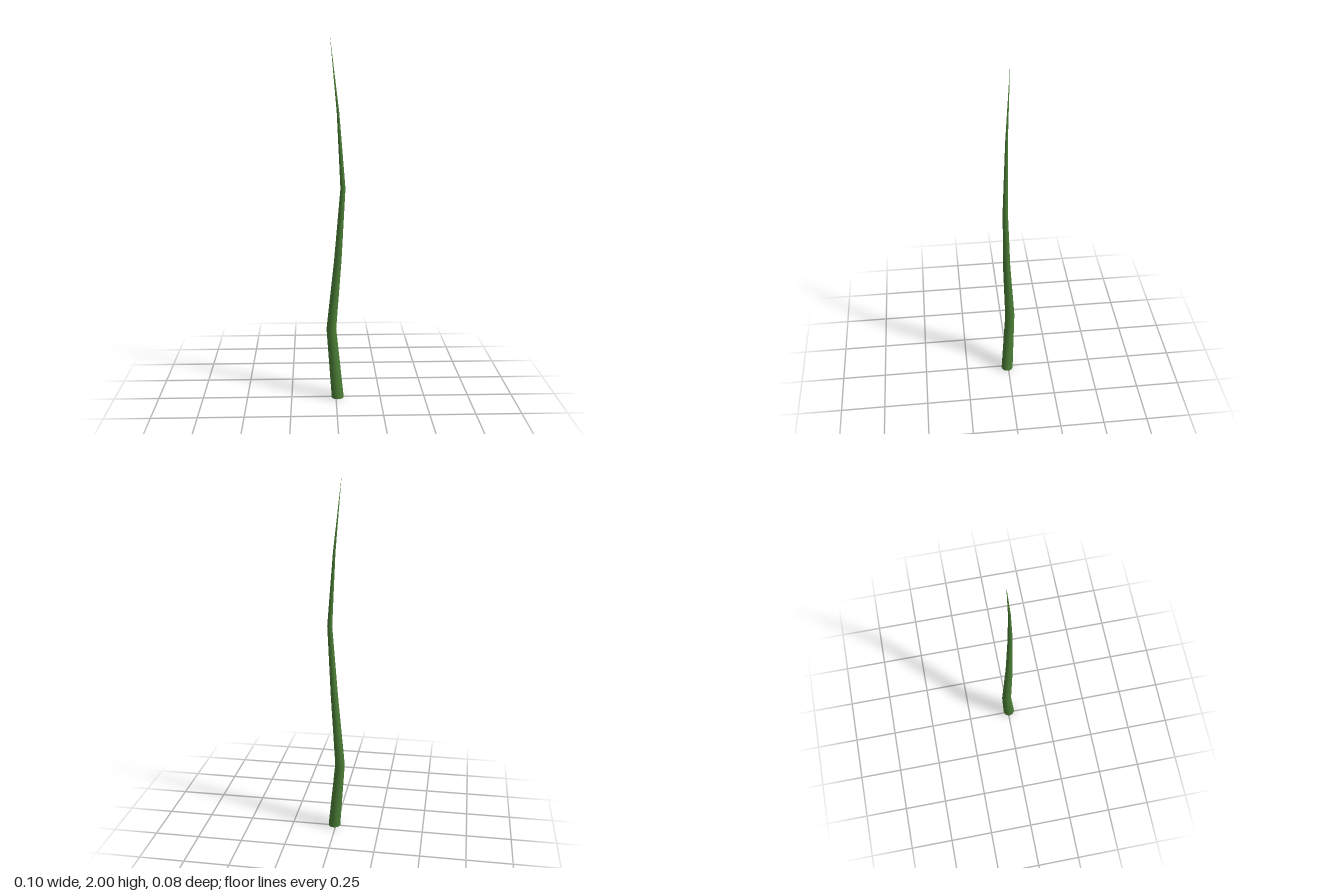
import * as THREE from 'three';
import { mergeVertices } from 'three/addons/utils/BufferGeometryUtils.js';

const HEIGHT = 2;
// Sideways offset [x, z] of the stem at each evenly spaced ring, base to tip
const BENDS = [
  [0.01, 0.006], [-0.025, -0.014], [0.01, 0.008],
  [0.037, 0.018], [0.011, 0.008], [-0.031, -0.014],
];

// Tapered open tube whose rings are shifted along the bends
function bentStem(radius, sides) {
  const rings = BENDS.length - 1;
  let geo = new THREE.CylinderGeometry(0, radius, HEIGHT, sides, rings, true);
  geo.translate(0, HEIGHT / 2, 0);
  const p = geo.attributes.position;
  for (let i = 0; i < p.count; i++) {
    const [dx, dz] = BENDS[Math.round((p.getY(i) / HEIGHT) * rings)];
    p.setX(i, p.getX(i) + dx);
    p.setZ(i, p.getZ(i) + dz);
  }
  // Weld the seam so the shading runs smoothly all round
  geo.deleteAttribute('uv');
  geo.deleteAttribute('normal');
  geo = mergeVertices(geo);
  geo.computeVertexNormals();
  return geo;
}

export function createModel() {
  const group = new THREE.Group();
  const green = new THREE.MeshStandardMaterial({ color: 0x4a7c35, side: THREE.DoubleSide });
  const stem = new THREE.Mesh(bentStem(0.034, 16), green);
  stem.name = 'stem';
  group.add(stem);
  return group;
}
